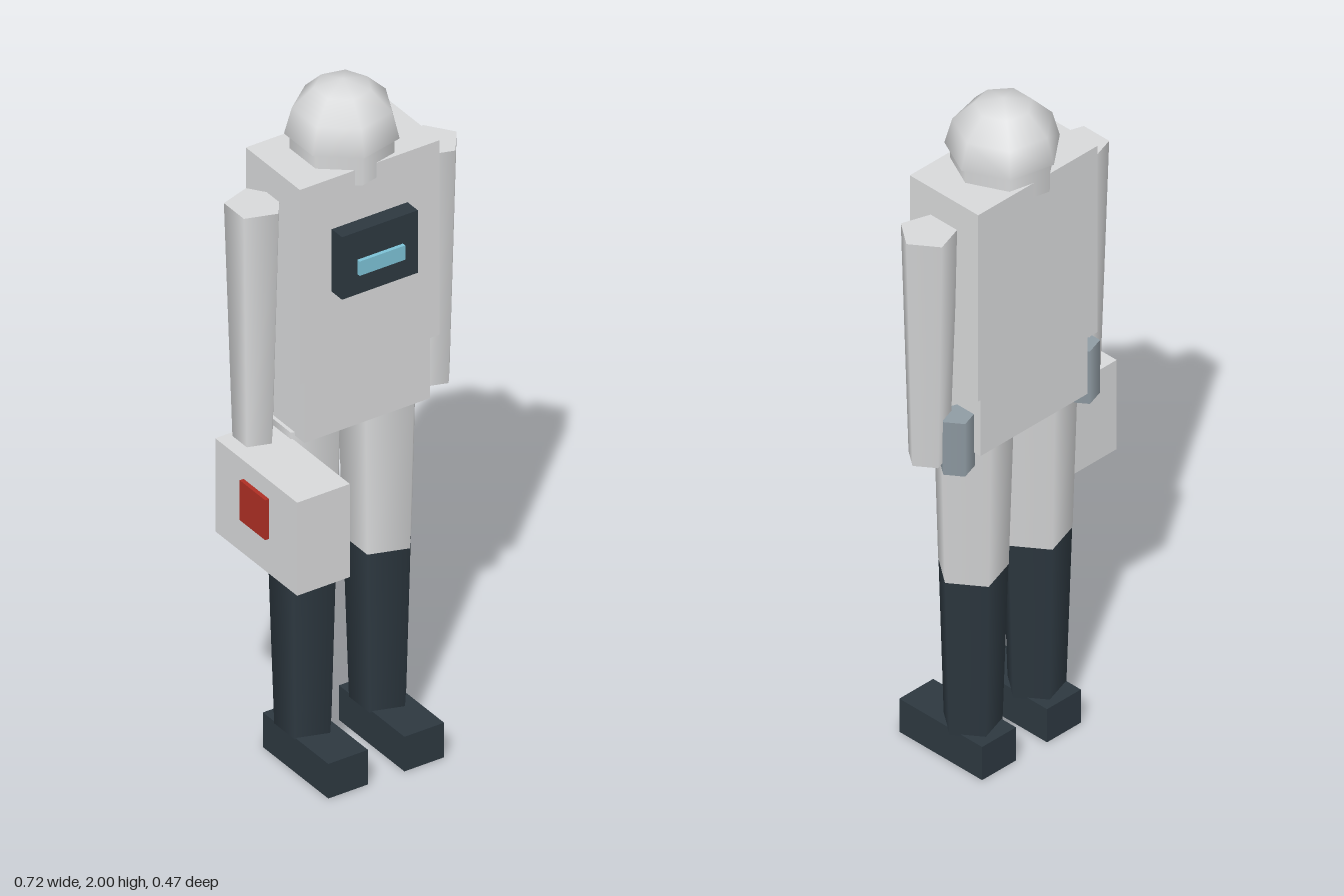
import * as THREE from 'three';

const paint = (name, color) => {
  const m = new THREE.MeshStandardMaterial({ color });
  m.name = name;
  return m;
};

export function createModel() {
  const model = new THREE.Group();
  model.name = 'suitedFigure';

  const white = paint('suitWhite', 0xd8d9da);
  const dark = paint('bootDark', 0x2d3840);
  const steel = paint('steelGrey', 0x909ca4);
  const cyan = paint('displayCyan', 0x7cc2d6);
  const red = paint('markRed', 0xae2f24);

  // The body axis
  const CX = 0.01, CZ = -0.09;

  const add = (name, geometry, material, x, y, z) => {
    const mesh = new THREE.Mesh(geometry, material);
    mesh.name = name;
    mesh.position.set(x, y, z);
    model.add(mesh);
    return mesh;
  };
  // Box from its limits on each axis
  const box = (name, material, [x0, x1], [y0, y1], [z0, z1]) =>
    add(name, new THREE.BoxGeometry(x1 - x0, y1 - y0, z1 - z0), material,
      (x0 + x1) / 2, (y0 + y1) / 2, (z0 + z1) / 2);
  // Upright tapered prism with one corner pointing to +x
  const post = (name, material, sides, rTop, rBottom, [y0, y1], x, z) =>
    add(name, new THREE.CylinderGeometry(rTop, rBottom, y1 - y0, sides, 1, false, Math.PI / 2),
      material, x, (y0 + y1) / 2, z);

  // Trunk
  box('torso', white, [-0.205, 0.225], [1.22, 1.805], [-0.214, 0.033]);
  box('hips', white, [-0.183, 0.203], [1.03, 1.22], [-0.2, 0.021]);

  // Head and helmet
  post('head', white, 7, 0.138, 0.138, [1.76, 1.87], CX, CZ);
  add('helmet', new THREE.SphereGeometry(0.152, 7, 3, Math.PI, Math.PI * 2, 0, Math.PI / 2),
    white, CX, 1.85, CZ);
  const rim = add('helmetRim', new THREE.CircleGeometry(0.152, 7), white, CX, 1.85, CZ);
  rim.rotation.x = Math.PI / 2;

  // Chest unit with a lit display
  box('chestUnit', dark, [-0.107, 0.126], [1.465, 1.653], [0.033, 0.08]);
  box('chestDisplay', cyan, [-0.06, 0.08], [1.526, 1.569], [0.078, 0.091]);

  // Limbs and side canisters
  for (const [side, s] of [['left', 1], ['right', -1]]) {
    post(side + 'Arm', white, 5, 0.078, 0.056, [1.012, 1.72], CX + s * 0.272, CZ);
    post(side + 'Thigh', white, 5, 0.109, 0.096, [0.585, 1.04], CX + s * 0.115, CZ);
    post(side + 'Boot', dark, 5, 0.095, 0.08, [0.1, 0.585], CX + s * 0.115, CZ);
    const fx = CX + s * 0.117;
    box(side + 'Foot', dark, [fx - 0.061, fx + 0.061], [0, 0.104], [-0.191, 0.108]);
    post(side + 'Canister', steel, 5, 0.048, 0.048, [0.985, 1.15], CX + s * 0.225, -0.146);
  }

  // Carried case with a red plate on its outer side
  box('case', white, [-0.35, -0.188], [0.74, 1.02], [-0.138, 0.236]);
  box('casePlate', red, [-0.362, -0.349], [0.845, 0.965], [-0.009, 0.108]);

  return model;
}
